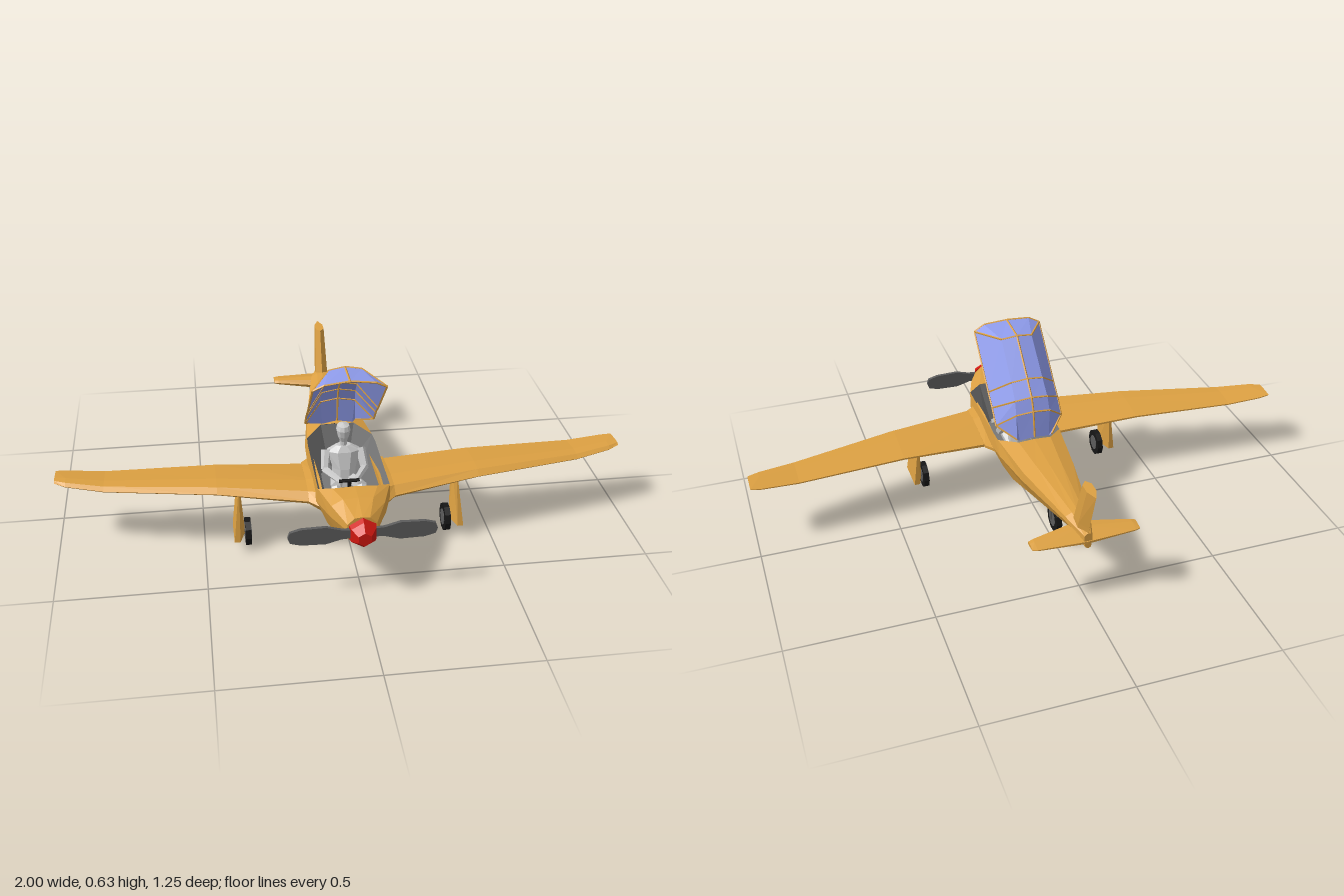
import * as THREE from 'three';

const paint = (color, side = THREE.FrontSide) =>
  new THREE.MeshStandardMaterial({ color, flatShading: true, side });
const GOLD = paint(0xdca042, THREE.DoubleSide), GLASS = paint(0x8f9cec, THREE.DoubleSide);
const TUB = paint(0x777777, THREE.DoubleSide), METAL = paint(0x5c5c5c);
const RED = paint(0xd01810), TYRE = paint(0x161616), FIGURE = paint(0xcccccc, THREE.DoubleSide);

const mirror = ([x, y, z]) => [-x, y, z];

function add(parent, name, geometry, material, x = 0, y = 0, z = 0) {
  const m = new THREE.Mesh(geometry, material);
  m.name = name;
  m.position.set(x, y, z);
  parent.add(m);
  return m;
}

function addGroup(parent, name, x = 0, y = 0, z = 0) {
  const g = new THREE.Group();
  g.name = name;
  g.position.set(x, y, z);
  parent.add(g);
  return g;
}

// Skin over cross-sections; skip(i, j) leaves openings, caps close the ends.
function loft(rings, { closed = true, caps = true, skip = () => false } = {}) {
  const out = [];
  const tri = (a, b, c) => {
    const [A, B, C] = [a, b, c].map(p => new THREE.Vector3(...p));
    if (B.sub(A).cross(C.sub(A)).length() > 1e-7) out.push(...a, ...b, ...c);
  };
  const n = rings[0].length, m = closed ? n : n - 1;
  for (let i = 0; i + 1 < rings.length; i++)
    for (let j = 0; j < m; j++) {
      if (skip(i, j)) continue;
      const k = (j + 1) % n, p = rings[i], q = rings[i + 1];
      tri(p[j], q[j], q[k]);
      tri(p[j], q[k], p[k]);
    }
  if (caps) [rings[0], rings[rings.length - 1]].forEach((r, e) => {
    for (let j = 1; j + 1 < n; j++) e ? tri(r[0], r[j + 1], r[j]) : tri(r[0], r[j], r[j + 1]);
  });
  const g = new THREE.BufferGeometry();
  g.setAttribute('position', new THREE.Float32BufferAttribute(out, 3));
  g.computeVertexNormals();
  return g;
}

// Straight bar between two points
function bar(parent, name, a, b, r0, r1, material, sides = 6) {
  const A = new THREE.Vector3(...a), B = new THREE.Vector3(...b), d = B.clone().sub(A);
  const m = add(parent, name, new THREE.CylinderGeometry(r1, r0, d.length(), sides), material);
  m.position.copy(A).add(B).multiplyScalar(0.5);
  m.quaternion.setFromUnitVectors(new THREE.Vector3(0, 1, 0), d.normalize());
}

function wheel(parent, name, x, y, z) {
  const g = addGroup(parent, name, x, y, z);
  const disc = (part, r, w, mat) =>
    add(g, part, new THREE.CylinderGeometry(r, r, w, 10).rotateZ(Math.PI / 2), mat);
  disc('tyre', 0.05, 0.02, TYRE);
  disc('hub', 0.029, 0.024, METAL);
}

function fuselage(parent) {
  // Ten-sided section: deck centre, deck edge, rim, widest line, chine, keel, and back
  const section = ([top, deckX, deckZ, wide, rimY, rimZ, chineY, keelY, keelZ]) => {
    const half = [[0, top, deckZ], [deckX, top - .003, deckZ], [wide * .96, rimY, rimZ],
      [wide, rimY * .65 + chineY * .35, (rimZ + keelZ) / 2], [wide * .67, chineY, keelZ], [0, keelY, keelZ]];
    return [...half, ...half.slice(1, 5).reverse().map(mirror)];
  };
  const rings = [
    [.287, .025, .57, .05, .262, .57, .2, .19, .57],
    [.305, .05, .48, .092, .28, .48, .165, .143, .48],
    [.306, .075, .41, .125, .29, .385, .133, .1, .36],
    [.305, .075, .09, .125, .29, .09, .133, .1, .09],
    [.308, .06, -.03, .122, .288, .034, .15, .127, -.03],
    [.301, .045, -.18, .096, .28, -.18, .183, .165, -.18],
    [.3, .02, -.47, .045, .285, -.47, .243, .234, -.47],
    [.28, .008, -.572, .014, .27, -.572, .225, .22, -.572],
  ].map(section);
  add(parent, 'fuselage', loft(rings, { skip: (i, j) => (i === 2 || i === 3) && (j < 2 || j > 7) }), GOLD);

  // Cockpit tub hanging from the rim
  const [front, middle, rear] = rings.slice(2, 5);
  const side = [front[1], front[2], middle[2], rear[2], rear[1]];
  const rim = [...side, ...side.slice().reverse().map(mirror)];
  const floor = rim.map(([x, , z]) => [x * .6, .15, .18 + (z - .18) * .85]);
  const middleLine = floor.map(([, y, z]) => [0, y, z]);
  add(parent, 'cockpitTub', loft([rim, floor, middleLine], { caps: false }), TUB);
}

// Spinner and two-bladed propeller
function propeller(parent) {
  const g = addGroup(parent, 'propeller', 0, .24, .585);
  const profile = [[0, -.005], [.051, -.005], [.046, .016], [.024, .045], [0, .045]];
  add(g, 'spinner', new THREE.LatheGeometry(profile.map(p => new THREE.Vector2(...p)), 6).rotateX(Math.PI / 2), RED);
  const edge = [[.02, .014], [.07, .017], [.12, .031], [.2, .029], [.235, .019], [.242, 0]];
  const outline = [...edge, ...edge.slice(0, 5).reverse().map(([x, y]) => [x, -y])];
  const blade = new THREE.ExtrudeGeometry(new THREE.Shape(outline.map(p => new THREE.Vector2(...p))),
    { depth: .012, bevelEnabled: false });
  for (const a of [0, Math.PI]) add(g, 'blade', blade, METAL, 0, 0, -.006).rotation.z = a;
}

// Wing, root fairing, landing leg, wheel and tailplane of one side
function halfAirframe(parent, name, sign) {
  const g = addGroup(parent, name);
  g.scale.x = sign;
  // Rows: x, y, leading edge z, trailing edge z, thickness
  const section = ([x, y, lead, trail, t]) => {
    const at = (chord, h) => [x, y + t * h, lead + (trail - lead) * chord];
    return [at(0, 0), at(.12, .5), at(.4, .55), at(1, .1), at(1, -.1), at(.4, -.5), at(.08, -.4)];
  };
  const surface = (part, rows) => add(g, part, loft(rows.map(section)), GOLD);
  surface('wing', [[.1, .222, .365, .11, .05], [.45, .238, .292, .095, .03],
    [.83, .231, .21, .075, .022], [.96, .24, .175, .067, .018], [.998, .244, .155, .07, .01]]);
  surface('wingRoot', [[.1, .22, .4, .05, .075], [.147, .225, .358, .1, .046]]);
  surface('tailplane', [[0, .245, -.465, -.575, .04], [.17, .247, -.506, -.565, .018], [.186, .247, -.512, -.56, .012]]);

  const foot = (y, x0, x1, z0, z1) =>
    [[x0, y, (z0 + z1) / 2], [(x0 + x1) / 2, y, z0], [x1, y, z0], [x1, y, z1], [(x0 + x1) / 2, y, z1]];
  add(g, 'landingLeg', loft([foot(.225, .372, .38, .28, .182), foot(.052, .36, .4, .31, .185)]), GOLD);
  wheel(g, 'mainWheel', .35, .053, .245);
  bar(g, 'axle', [.35, .055, .245], [.375, .06, .245], .01, .01, METAL);
}

function fin(parent) {
  const ring = (y, z0, z1, w) => {
    const a = z0 + (z1 - z0) * .2, b = z0 + (z1 - z0) * .6;
    return [[0, y, z0], [w, y, a], [w, y, b], [0, y, z1], [-w, y, b], [-w, y, a]];
  };
  add(parent, 'fin', loft([ring(.25, -.455, -.565, .022), ring(.3, -.472, -.576, .022),
    ring(.455, -.525, -.625, .016)]), GOLD);
}

// Raised canopy with thin frames
function canopy(parent) {
  const g = addGroup(parent, 'canopy');
  // Rows: lower edge x, y, z, then roof half-width, roof y, roof z
  const rings = [
    [.065, .318, -.03, .055, .318, -.032],
    [.123, .35, .034, .062, .415, -.018],
    [.123, .4, .077, .06, .462, .002],
    [.123, .44, .122, .058, .512, .05],
    [.123, .602, .285, .056, .625, .166],
    [.123, .602, .287, .085, .63, .287],
  ].map(([x, y, z, w, top, topZ]) => {
    const half = [[x, y, z], [w, top - .008, topZ + .005]];
    return [...half, [0, top, topZ], ...half.reverse().map(mirror)].map((p, i, r) => i < 2 ? mirror(r[4 - i]) : p);
  });
  add(g, 'glass', loft(rings, { closed: false, caps: false }), GLASS);
  const frame = (a, b) => bar(g, 'frame', a, b, .0035, .0035, GOLD, 4);
  rings.slice(1).forEach(r => { for (let j = 0; j < 4; j++) frame(r[j], r[j + 1]); });
  for (let i = 0; i + 1 < rings.length; i++)
    for (const j of i === 4 ? [2] : [0, 2, 4]) frame(rings[i][j], rings[i + 1][j]);
}

// Seated pilot and control stick
function pilot(parent) {
  const g = addGroup(parent, 'pilot');
  const head = [[0, .3], [.014, .3], [.015, .325], [.024, .345], [.03, .37], [.025, .386], [0, .393]];
  add(g, 'head', new THREE.LatheGeometry(head.map(p => new THREE.Vector2(...p)), 10), FIGURE, 0, 0, .13).scale.x = .85;
  const slab = (y, z, w, d) => Array.from({ length: 8 }, (_, i) => {
    const a = (i + .5) * Math.PI / 4;
    return [w * Math.cos(a), y, z + d * Math.sin(a)];
  });
  add(g, 'torso', loft([slab(.165, .15, .043, .035), slab(.23, .145, .043, .032), slab(.29, .132, .062, .03),
    slab(.31, .13, .027, .018)]), FIGURE);
  for (const s of [-1, 1]) {
    const elbow = [s * .07, .235, .17], knee = [s * .045, .22, .27];
    bar(g, 'upperArm', [s * .06, .29, .13], elbow, .018, .014, FIGURE);
    bar(g, 'forearm', elbow, [s * .025, .235, .26], .014, .01, FIGURE);
    bar(g, 'thigh', [s * .025, .18, .15], knee, .024, .019, FIGURE);
    bar(g, 'shin', knee, [s * .04, .17, .34], .018, .013, FIGURE);
  }
  bar(g, 'controlStick', [0, .15, .28], [0, .25, .28], .007, .007, TYRE);
  bar(g, 'controlGrip', [-.035, .25, .28], [.035, .25, .28], .006, .006, TYRE);
}

export function createModel() {
  const model = new THREE.Group();
  model.name = 'airplane';
  fuselage(model);
  propeller(model);
  halfAirframe(model, 'leftSide', 1);
  halfAirframe(model, 'rightSide', -1);
  fin(model);
  canopy(model);
  pilot(model);
  wheel(model, 'tailWheel', 0, .117, -.253);
  for (const x of [-.014, .014]) bar(model, 'tailStrut', [x, .2, -.25], [x, .115, -.253], .008, .006, METAL);
  return model;
}
